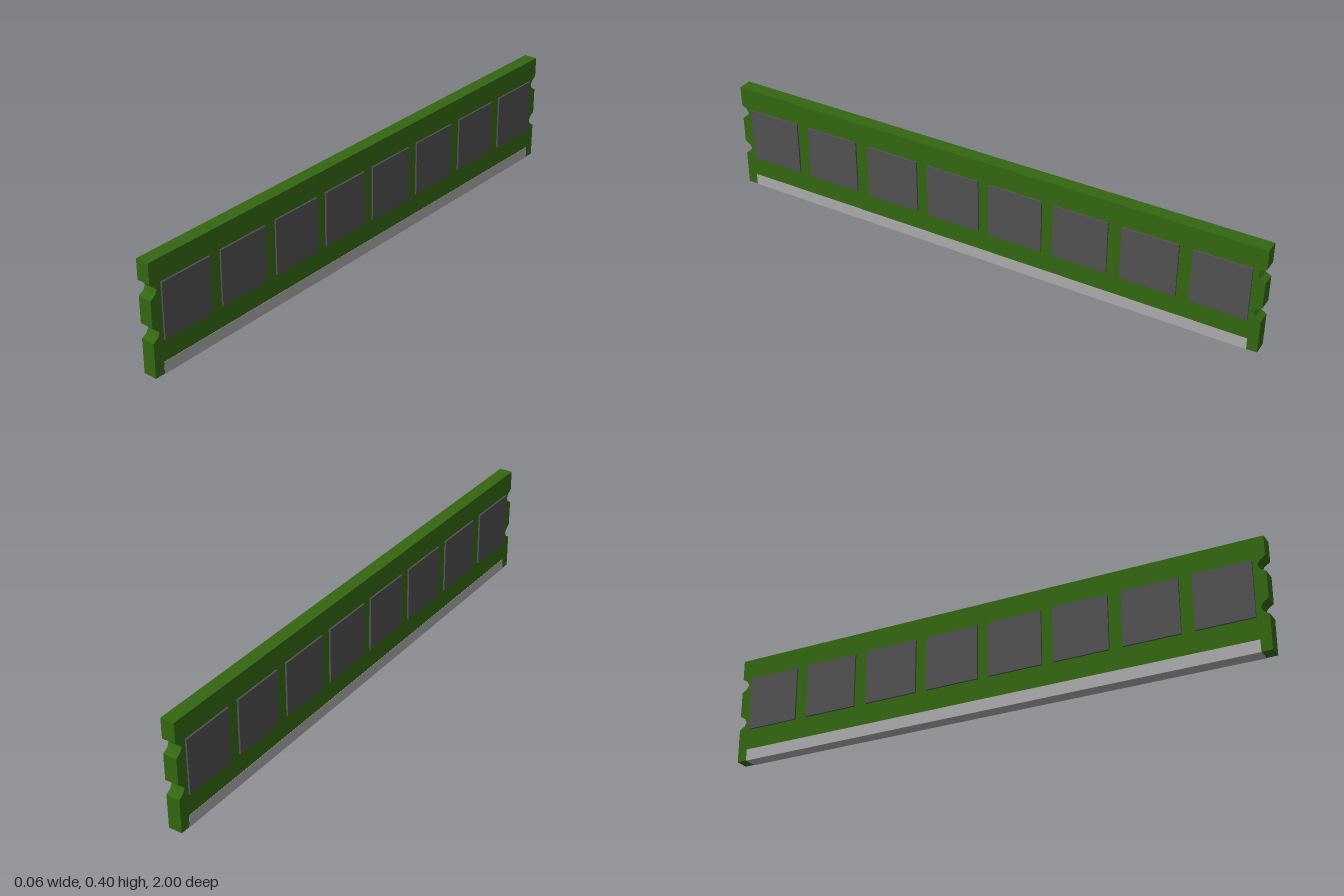
import * as THREE from 'three';

const material = (color) => new THREE.MeshStandardMaterial({ color, flatShading: true });

export function createModel() {
  const group = new THREE.Group();
  const green = material(0x336611);
  const dark = material(0x505050);
  const metal = material(0xaaaaaa);

  const add = (name, geometry, mat, x, y, z) => {
    const mesh = new THREE.Mesh(geometry, mat);
    mesh.name = name;
    mesh.position.set(x, y, z);
    group.add(mesh);
  };

  // Circuit board: long outline with two faceted notches in each end
  const height = 0.397, thickness = 0.049;
  const notch = [[0, -0.027], [0.02, -0.015], [0.027, 0], [0.02, 0.014], [0, 0.027]];
  const rightEdge = [[1, 0]];
  for (const y of [0.15, 0.298]) {
    for (const [inset, dy] of notch) rightEdge.push([1 - inset, y + dy]);
  }
  rightEdge.push([1, height]);
  const leftEdge = rightEdge.map(([u, y]) => [-u, y]).reverse();
  const outline = [...rightEdge, ...leftEdge].map(([u, y]) => new THREE.Vector2(u, y));
  const board = new THREE.ExtrudeGeometry(new THREE.Shape(outline), { depth: thickness, bevelEnabled: false });
  board.translate(0, 0, -thickness / 2).rotateY(Math.PI / 2);
  add('circuitBoard', board, green, 0, 0, 0);

  // Memory chips: eight on each face
  const chip = new THREE.BoxGeometry(0.008, 0.199, 0.2);
  for (const side of [1, -1]) {
    for (const z of [0.12, 0.362, 0.61, 0.857]) {
      for (const end of [1, -1]) add('memoryChip', chip, dark, side * 0.027, 0.2175, end * z);
    }
  }

  // Contact strip wrapping the lower edge
  add('contactStrip', new THREE.BoxGeometry(thickness + 0.002, 0.043, 1.926), metal, 0, 0.0205, 0);

  return group;
}
